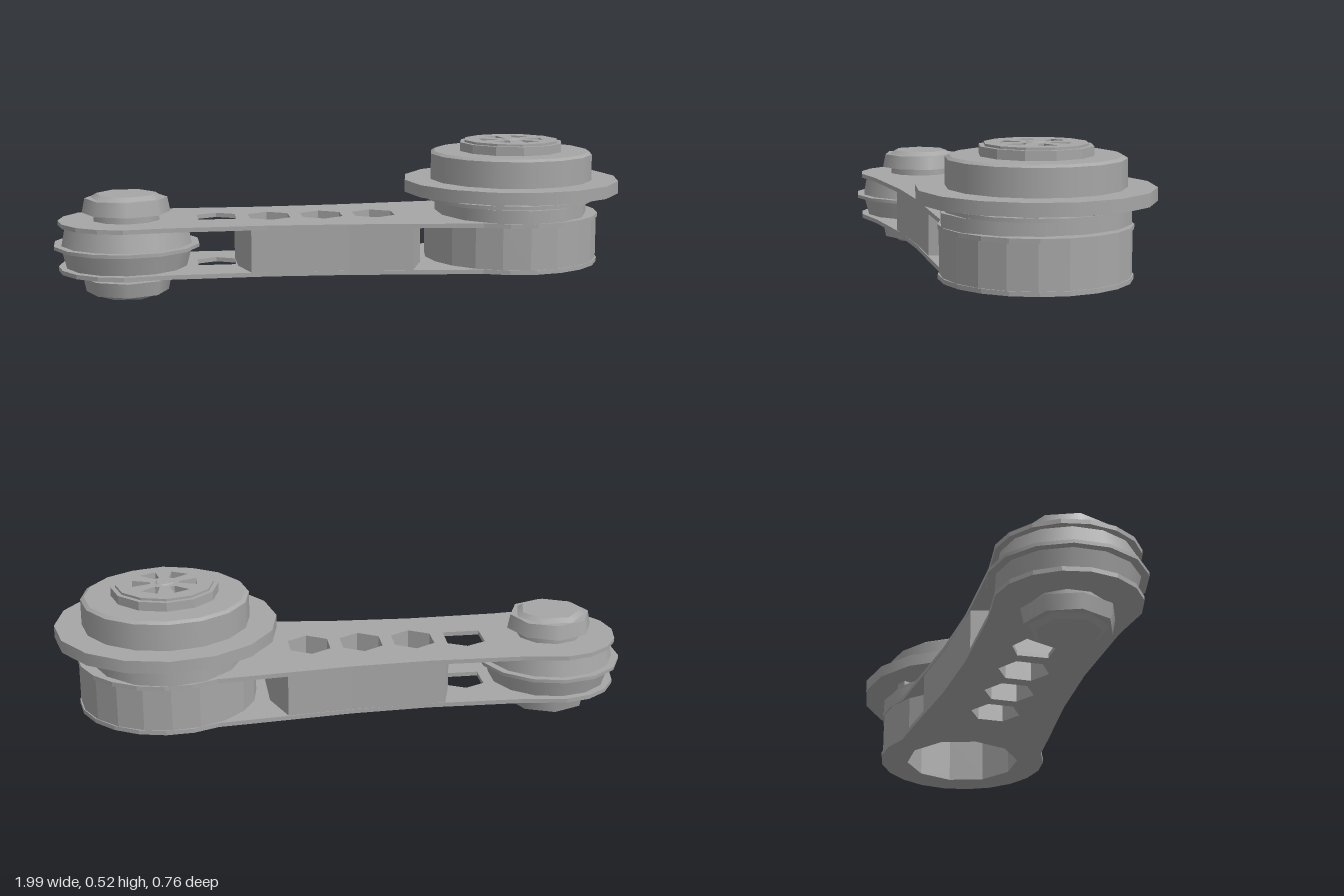
import * as THREE from 'three';

export function createModel() {
  const model = new THREE.Group();
  model.name = 'pulleyArm';
  const metal = new THREE.MeshStandardMaterial({ color: 0xa6a6a6 });
  metal.name = 'greyMetal';

  const BIG = 0.615;    // x of the large pulley axis
  const SMALL = -0.745; // x of the small roller axis

  const add = (name, geometry, parent = model) => {
    const mesh = new THREE.Mesh(geometry, metal);
    mesh.name = name;
    parent.add(mesh);
    return mesh;
  };

  // Upright disc between two heights
  const disc = (name, x, y0, y1, rBottom, rTop, sides, parent) => {
    const mesh = add(name, new THREE.CylinderGeometry(rTop, rBottom, y1 - y0, sides), parent);
    mesh.position.set(x, (y0 + y1) / 2, 0);
    return mesh;
  };

  // Flat outline extruded upwards from y0 to y1
  const slab = (name, points, holes, y0, y1) => {
    const shape = new THREE.Shape(points.map(([x, y]) => new THREE.Vector2(x, y)));
    for (const hole of holes) {
      shape.holes.push(new THREE.Path(hole.map(([x, y]) => new THREE.Vector2(x, y))));
    }
    const geometry = new THREE.ExtrudeGeometry(shape, { depth: y1 - y0, bevelEnabled: false });
    geometry.rotateX(-Math.PI / 2);
    geometry.translate(0, y0, 0);
    return add(name, geometry);
  };

  const arc = (cx, r, from, to, steps) => Array.from({ length: steps + 1 }, (_, i) => {
    const a = from + (to - from) * i / steps;
    return [cx + r * Math.cos(a), r * Math.sin(a)];
  });
  const ring = (cx, r, sides) => arc(cx, r, 0, Math.PI * 2, sides).slice(0, sides);

  // Hexagonal lightening holes; the end one has a flat edge
  const hexHole = (x) => [[x, 0.088], [x - 0.07, 0.045], [x - 0.07, -0.045],
    [x, -0.088], [x + 0.07, -0.045], [x + 0.07, 0.045]];
  const blockHoles = [-0.25, -0.065, 0.12].map(hexHole);
  const endHole = [[-0.43, 0.09], [-0.5, 0.055], [-0.5, -0.05], [-0.37, -0.05], [-0.365, 0.055]];
  const plateHoles = [endHole, ...blockHoles];

  // Arm plates: two round ends joined by a waisted bar
  const outline = [
    ...arc(BIG, 0.31, -2.1, 2.1, 14),
    [0.33, 0.255], [0.0, 0.22], [-0.27, 0.207], [-0.6, 0.215],
    ...arc(SMALL, 0.235, 1.25, Math.PI * 2 - 1.25, 10),
    [-0.6, -0.215], [-0.27, -0.207], [0.0, -0.22], [0.33, -0.255],
  ];
  slab('topPlate', outline, plateHoles, 0.25, 0.265);
  slab('bottomPlate', outline, [...plateHoles, ring(BIG, 0.21, 10)], 0.09, 0.105);

  // Spacer block between the plates, with slanted ends
  slab('spacerBlock', [
    [-0.33, -0.205], [0, -0.218], [0.22, -0.24], [0.27, -0.1], [0.27, 0.1],
    [0.22, 0.24], [0, 0.218], [-0.33, 0.205], [-0.365, 0.08], [-0.365, -0.08],
  ], blockHoles, 0.105, 0.25);

  // Hollow drum under the large pulley
  slab('drumWall', ring(BIG, 0.306, 20), [ring(BIG, 0.21, 10)], 0.105, 0.25);

  // Large pulley stack
  const pulley = new THREE.Group();
  pulley.name = 'largePulley';
  model.add(pulley);
  disc('bearingRing', BIG, 0.265, 0.31, 0.31, 0.31, 14, pulley).scale.x = 0.86;
  disc('thinWasher', BIG, 0.31, 0.323, 0.295, 0.295, 16, pulley);
  disc('neck', BIG, 0.323, 0.34, 0.262, 0.262, 16, pulley);
  disc('flange', BIG, 0.34, 0.383, 0.382, 0.382, 16, pulley);
  disc('rim', BIG, 0.383, 0.474, 0.288, 0.288, 16, pulley);
  disc('rimShoulder', BIG, 0.474, 0.482, 0.288, 0.275, 16, pulley);

  // Small lugs beneath the flange
  for (let i = 0; i < 8; i++) {
    const a = (i + 0.5) * Math.PI / 4;
    const lug = add('lug', new THREE.BoxGeometry(0.03, 0.017, 0.045), pulley);
    lug.position.set(BIG + 0.275 * Math.cos(a), 0.3315, 0.275 * Math.sin(a));
    lug.rotation.y = -a;
  }

  // Hub cap with six wedge-shaped pockets around a centre hexagon
  const wedges = Array.from({ length: 6 }, (_, i) => {
    const a = i * Math.PI / 3;
    const c = Math.cos(a), s = Math.sin(a);
    return [[0.05, -0.009], [0.11, -0.031], [0.11, 0.031], [0.05, 0.009]]
      .map(([u, v]) => [BIG + u * c - v * s, u * s + v * c]);
  });
  slab('hub', ring(BIG, 0.184, 12), wedges, 0.482, 0.513);
  slab('hubCap', ring(BIG, 0.168, 12), wedges, 0.513, 0.521);
  disc('centreBolt', BIG, 0.521, 0.525, 0.035, 0.03, 6);

  // Small roller between the plates
  const roller = new THREE.Group();
  roller.name = 'smallRoller';
  model.add(roller);
  disc('rollerLower', SMALL, 0.105, 0.172, 0.21, 0.228, 14, roller);
  disc('rollerRim', SMALL, 0.172, 0.184, 0.254, 0.254, 14, roller);
  disc('rollerUpper', SMALL, 0.184, 0.25, 0.228, 0.215, 14, roller);

  // Bolt heads above and below the roller
  for (const [name, base, dir] of [['topBolt', 0.265, 1], ['bottomBolt', 0.09, -1]]) {
    const bolt = new THREE.Group();
    bolt.name = name;
    bolt.position.set(SMALL, base, 0);
    if (dir < 0) bolt.rotation.x = Math.PI;
    disc('boltNeck', 0, 0, 0.026, 0.118, 0.118, 10, bolt);
    disc('boltHead', 0, 0.026, 0.076, 0.152, 0.142, 8, bolt);
    disc('boltCrown', 0, 0.076, 0.09, 0.125, 0.105, 7, bolt);
    model.add(bolt);
  }

  return model;
}
